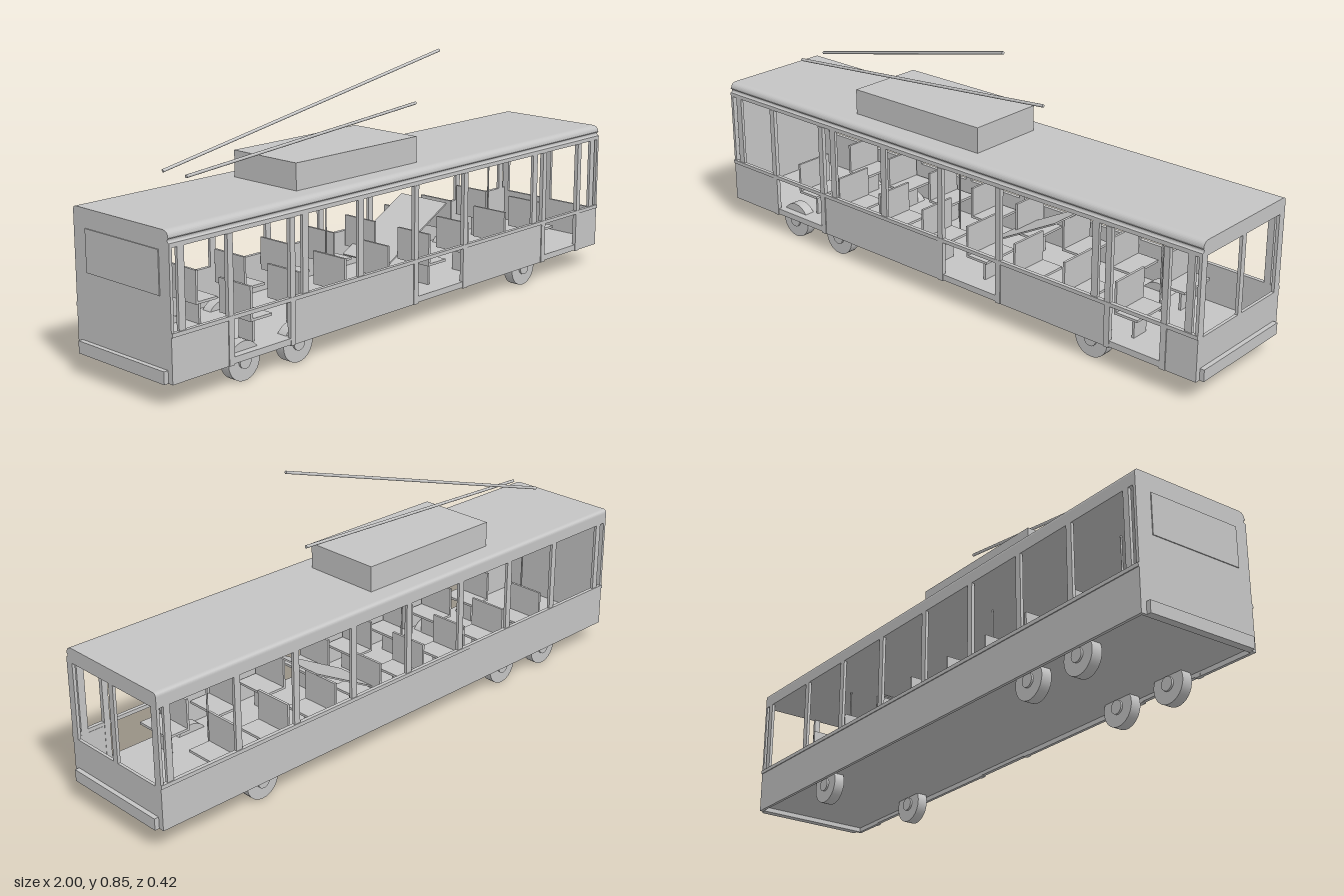
import * as THREE from 'three';

export function createModel() {
  const bus = new THREE.Group();
  bus.name = 'trolleybus';
  const gray = new THREE.MeshStandardMaterial({ color: 0xc4c4c4 });
  gray.name = 'light gray';

  const add = (name, geometry, parent = bus) => {
    const mesh = new THREE.Mesh(geometry, gray);
    mesh.name = name;
    parent.add(mesh);
    return mesh;
  };
  // box given by its limits on each axis
  const box = (name, x0, x1, y0, y1, z0, z1, parent = bus) => {
    const mesh = add(name, new THREE.BoxGeometry(x1 - x0, y1 - y0, z1 - z0), parent);
    mesh.position.set((x0 + x1) / 2, (y0 + y1) / 2, (z0 + z1) / 2);
    return mesh;
  };
  // round rod between two points
  const rod = (name, a, b, r) => {
    const from = new THREE.Vector3(...a), to = new THREE.Vector3(...b);
    const dir = to.clone().sub(from);
    const mesh = add(name, new THREE.CylinderGeometry(r, r, dir.length(), 10));
    mesh.position.copy(from).add(to).multiplyScalar(0.5);
    mesh.quaternion.setFromUnitVectors(new THREE.Vector3(0, 1, 0), dir.normalize());
  };

  const L = 0.985, bottom = 0.07, sill = 0.205, head = 0.455;

  // floor, set a little above the lower rim
  box('floor', -0.975, 0.975, 0.085, 0.093, -0.2, 0.2);

  // roof with softened long edges, extruded along x
  const s = new THREE.Shape();
  s.moveTo(-0.205, head);
  s.lineTo(0.209, head);
  s.lineTo(0.209, head + 0.013);
  s.absarc(0.209, head + 0.02, 0.007, -Math.PI / 2, Math.PI / 2, true);
  s.lineTo(0.205, 0.482);
  s.quadraticCurveTo(0.205, 0.503, 0.18, 0.503);
  s.lineTo(-0.195, 0.503);
  s.quadraticCurveTo(-0.209, 0.503, -0.209, 0.49);
  s.lineTo(-0.209, head);
  const roof = add('roof', new THREE.ExtrudeGeometry(s, {
    depth: 2 * L, bevelEnabled: false, curveSegments: 8 }));
  roof.rotation.y = -Math.PI / 2;
  roof.scale.x = 1;
  // the turn sends shape x to +z and depth to -x
  roof.position.x = L;

  // roof equipment box and the two trolley poles
  box('roofBox', -0.435, 0.097, 0.503, 0.587, -0.137, 0.131);
  rod('trolleyPole', [-0.785, 0.593, 0.05], [0.245, 0.657, -0.005], 0.005);
  rod('trolleyPole', [-0.785, 0.593, -0.052], [0.2, 0.85, 0.132], 0.005);

  // closed back long side: low wall and window pillars
  box('farSideWall', -L, L, bottom, sill, -0.209, -0.199);
  for (const x of [-0.945, -0.705, -0.475, -0.24, 0, 0.24, 0.475, 0.7, 0.95])
    box('farPillar', x - 0.011, x + 0.011, sill, head, -0.209, -0.199);

  // door side: wall panels between three doorways
  const doors = [[-0.76, -0.54], [0.02, 0.24], [0.68, 0.86]];
  const edges = [-L, ...doors.flat(), L];
  for (let i = 0; i < edges.length; i += 2)
    box('doorSideWall', edges[i], edges[i + 1], bottom, sill, 0.198, 0.208);
  for (const x of [-0.945, -0.475, -0.24, 0.62, 0.95])
    box('doorSidePillar', x - 0.012, x + 0.012, sill, head, 0.198, 0.208);
  for (const [a, b] of doors) {
    box('doorPost', a - 0.02, a, bottom, head, 0.197, 0.211);
    box('doorPost', b, b + 0.02, bottom, head, 0.197, 0.211);
    box('doorSill', a, b, bottom + 0.003, 0.093, 0.197, 0.209);
  }

  // belt trims along both sides
  box('beltTrim', -L, L, sill, 0.217, 0.199, 0.212);
  box('beltTrim', -L, L, sill, 0.217, -0.212, -0.199);

  // windscreen end
  box('frontPanel', 0.975, L, bottom, sill, -0.209, 0.208);
  box('windscreenPost', 0.975, L, sill, head, -0.01, 0.01);
  for (const side of [-1, 1])
    box('cornerPost', 0.975, L, sill, head, side * 0.196 - 0.013, side * 0.196 + 0.013);

  // rear end wall with its thin window panel
  box('rearWall', -L, -0.975, bottom, head, -0.209, 0.208);
  box('rearWindowPanel', -0.988, -L, 0.315, 0.445, -0.155, 0.165);

  // bumpers
  for (const side of [-1, 1])
    box('bumper', side * 0.9925 - 0.0075, side * 0.9925 + 0.0075, bottom, 0.108, -0.19, 0.19);

  // wheels with hubs
  const tyre = new THREE.CylinderGeometry(0.06, 0.06, 0.035, 32);
  const hub = new THREE.CylinderGeometry(0.022, 0.022, 0.048, 20);
  for (const x of [-0.7, -0.485, 0.595]) {
    for (const z of [-0.166, 0.166]) {
      const wheel = new THREE.Group();
      wheel.name = 'wheel';
      wheel.position.set(x, 0.06, z);
      wheel.rotation.x = Math.PI / 2;
      add('tyre', tyre, wheel);
      add('hub', hub, wheel);
      bus.add(wheel);
    }
  }

  // rows of double seats facing the windscreen
  for (let i = 0; i < 8; i++) {
    for (const side of [-1, 1]) {
      const seat = new THREE.Group();
      seat.name = 'seat';
      seat.position.set(-0.67 + i * 0.193, 0, side * 0.118);
      box('seatBack', -0.004, 0.004, 0.17, 0.276, -0.067, 0.067, seat);
      box('seatCushion', 0, 0.08, 0.17, 0.178, -0.067, 0.067, seat);
      box('seatLeg', 0.036, 0.044, 0.093, 0.17, -0.03, 0.03, seat);
      bus.add(seat);
    }
  }

  // sloping board inside and standing poles
  const slope = Math.atan2(0.155, 0.29);
  const board = add('slopingBoard', new THREE.BoxGeometry(0.329, 0.005, 0.2));
  board.position.set(0.197, 0.233, -0.05);
  board.rotation.z = slope;
  for (const x of [-0.74, -0.137, 0.68])
    rod('grabPole', [x, 0.093, -0.043], [x, head, -0.043], 0.003);

  return bus;
}
